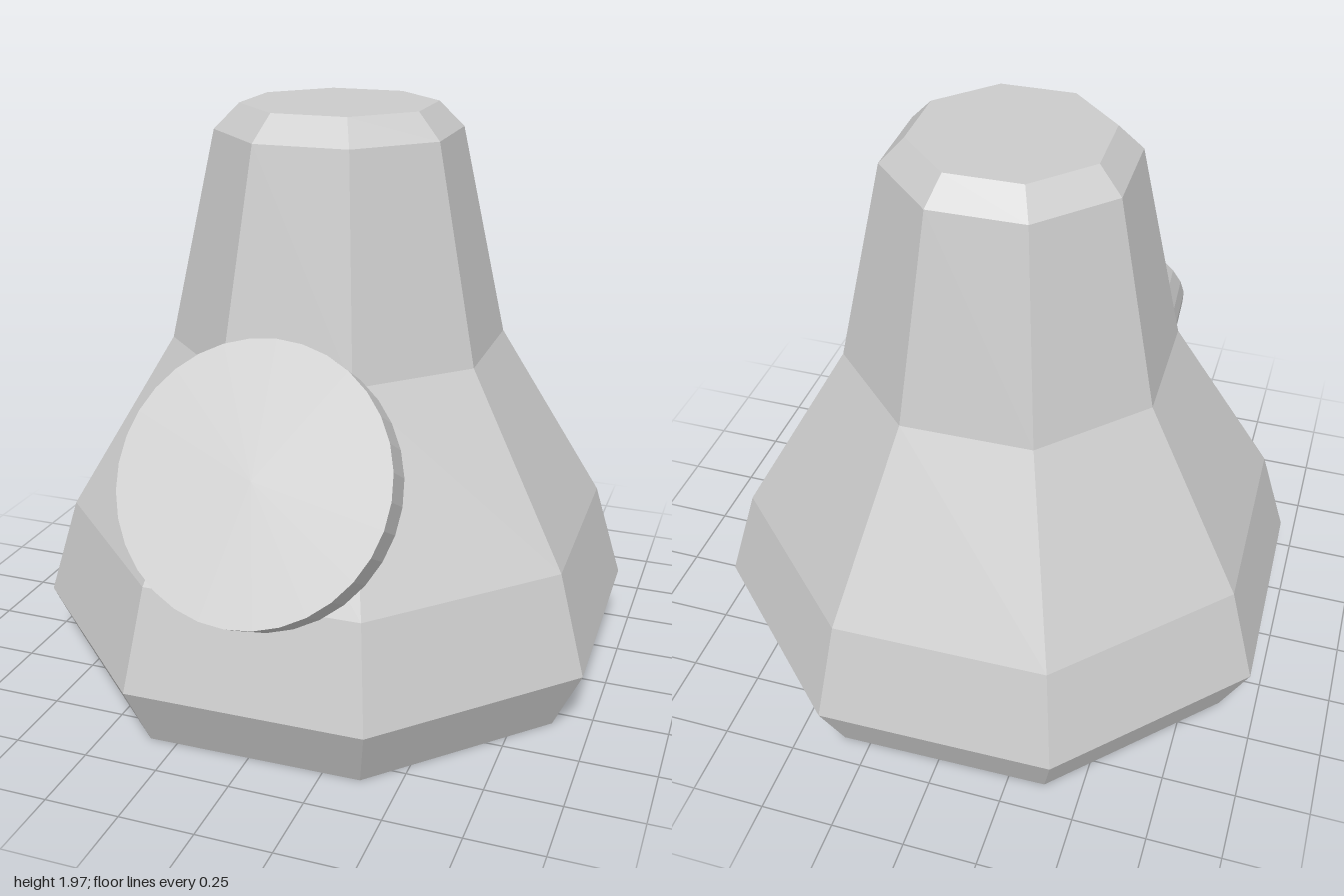
import * as THREE from 'three';

export function createModel() {
  const group = new THREE.Group();
  const material = new THREE.MeshStandardMaterial({ color: 0xcccccc, flatShading: true });

  // Eight-sided tapering body: [radius, height] from the base to the flat top
  const profile = [
    [0, 0], [0.94, 0], [1.045, 0.217], [0.943, 0.555],
    [0.573, 1.168], [0.415, 1.88], [0.33, 1.965], [0, 1.965],
  ].map(([r, y]) => new THREE.Vector2(r, y));
  const bodyGeometry = new THREE.LatheGeometry(profile, 8, THREE.MathUtils.degToRad(23.5));
  const body = new THREE.Mesh(bodyGeometry, material);
  body.name = 'body';
  body.position.z = -0.03;
  group.add(body);

  // Round disc on the sloping front, its face tilted 30 degrees upwards
  const thickness = 0.128;
  const disc = new THREE.Mesh(new THREE.CylinderGeometry(0.446, 0.446, thickness, 32), material);
  disc.name = 'frontDisc';
  const normal = new THREE.Vector3(0, Math.sin(Math.PI / 6), Math.cos(Math.PI / 6));
  disc.rotation.x = Math.PI / 3;
  disc.position.set(0.003, 0.938, 0.779).addScaledVector(normal, -thickness / 2);
  group.add(disc);

  return group;
}
